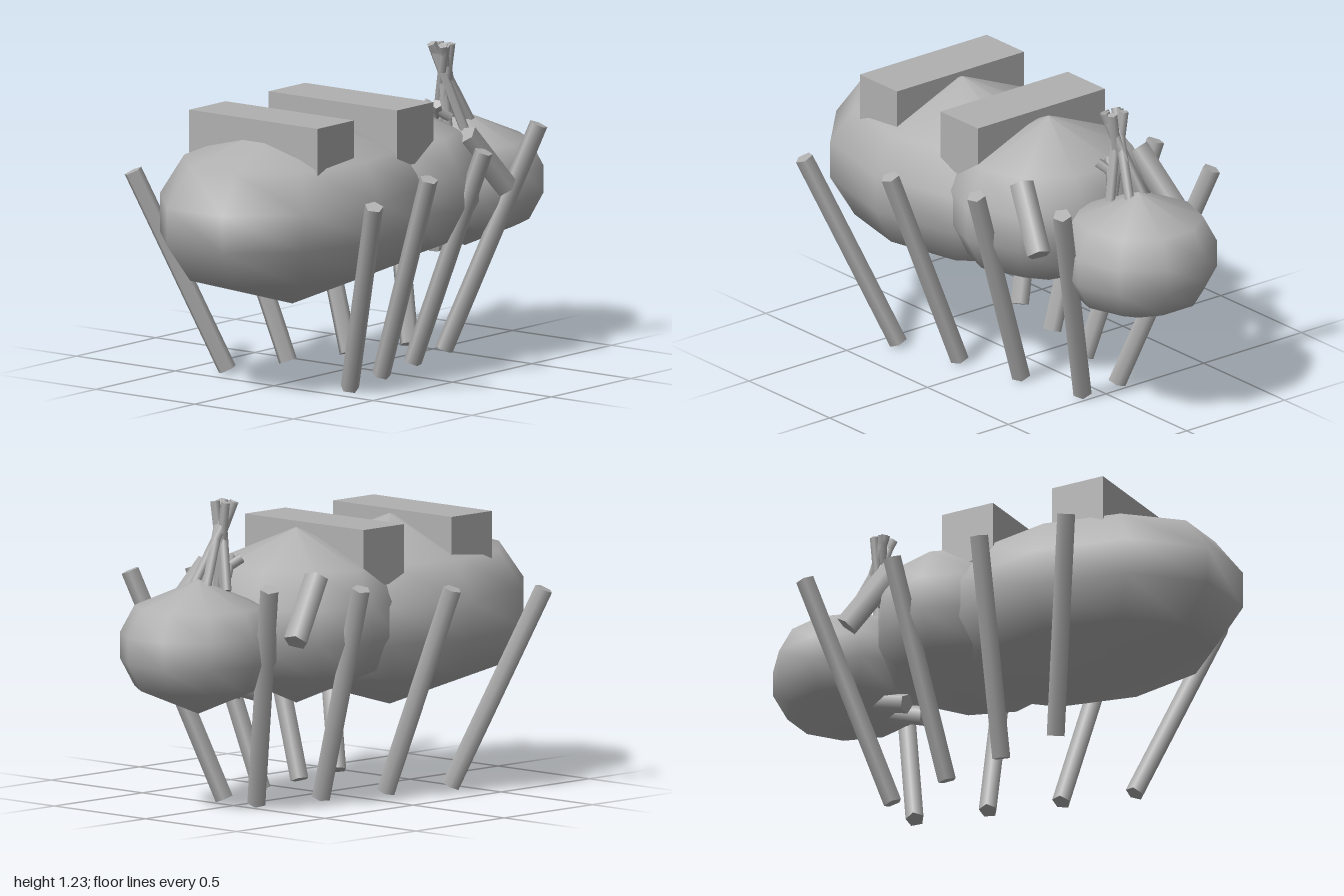
import * as THREE from 'three';

const grey = new THREE.MeshStandardMaterial({ color: 0xb0b0b0 });
grey.name = 'grey';

export function createModel() {
  const model = new THREE.Group();
  model.name = 'spider';

  const add = (name, geometry) => {
    const mesh = new THREE.Mesh(geometry, grey);
    mesh.name = name;
    model.add(mesh);
    return mesh;
  };

  // Ten-sided ball with five layers of equal height
  const heights = [-1, -0.6, -0.2, 0.2, 0.6, 1];
  const profile = heights.map((y) => new THREE.Vector2(Math.sqrt(1 - y * y), y));
  const ball = (name, center, radii) => {
    const geometry = new THREE.LatheGeometry(profile, 10, Math.PI / 10);
    geometry.scale(...radii);
    add(name, geometry).position.set(...center);
  };

  // Thin rod between two points
  const rod = (name, from, to, radius, sides = 5) => {
    const a = new THREE.Vector3(...from);
    const b = new THREE.Vector3(...to);
    const dir = b.clone().sub(a);
    const mesh = add(name, new THREE.CylinderGeometry(radius, radius, dir.length(), sides));
    mesh.position.copy(a).add(b).multiplyScalar(0.5);
    mesh.quaternion.setFromUnitVectors(new THREE.Vector3(0, 1, 0), dir.normalize());
  };

  // Rod and its mirror image
  const pair = (name, a, b, radius, sides) => {
    rod(name + 'Left', a, b, radius, sides);
    rod(name + 'Right', [-a[0], a[1], a[2]], [-b[0], b[1], b[2]], radius, sides);
  };

  // Body
  ball('abdomen', [0, 0.69, 0.385], [0.46, 0.38, 0.66]);
  ball('thorax', [0, 0.72, -0.145], [0.428, 0.35, 0.387]);
  ball('head', [0, 0.652, -0.7], [0.315, 0.268, 0.322]);

  // Blocks across the back
  for (const z of [0.515, 0.015]) {
    add('backBlock', new THREE.BoxGeometry(0.65, 0.23, 0.23)).position.set(0, 0.97, z);
  }

  // Legs, evenly stepped along the body
  for (let i = 0; i < 4; i++) {
    pair('leg' + (i + 1),
      [0.31 - 0.074 * i, 0.012, 0.41 - 0.29 * i],
      [0.61 - 0.076 * i, 0.805 + 0.037 * i, 0.63 - 0.44 * i], 0.038);
  }

  // Thick feelers beside the neck and small fangs below it
  pair('feeler', [0.295, 0.915, -0.335], [0.355, 0.685, -0.515], 0.05);
  pair('fang', [0.07, 0.44, -0.408], [0.05, 0.5, -0.6], 0.04);

  // Tuft of crossing rods on the head
  pair('tuftSide', [0.035, 1.215, -0.535], [-0.07, 0.87, -0.61], 0.02);
  pair('tuftBack', [0.03, 1.215, -0.525], [-0.035, 0.89, -0.69], 0.02);
  pair('tuftFront', [0.03, 1.215, -0.575], [-0.02, 0.86, -0.57], 0.02);
  pair('tuftShort', [0.03, 0.985, -0.485], [-0.03, 0.92, -0.57], 0.02);

  return model;
}
